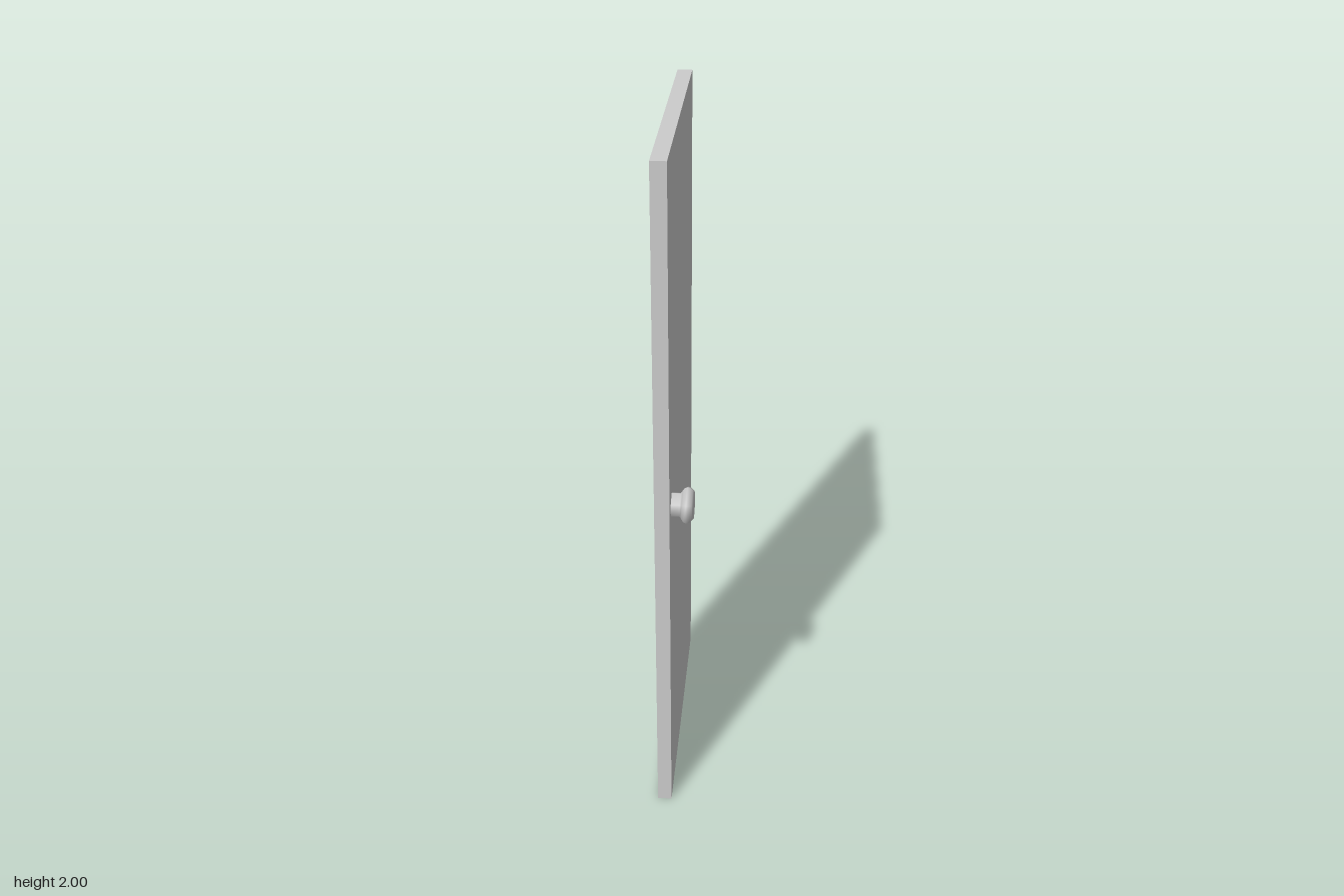
import * as THREE from 'three';

export function createModel() {
  const group = new THREE.Group();
  const material = new THREE.MeshStandardMaterial({ color: 0xcccccc });

  // Flat door slab
  const panel = new THREE.Mesh(new THREE.BoxGeometry(0.041, 2, 0.77), material);
  panel.name = 'doorPanel';
  panel.position.set(-0.0305, 1, 0);
  group.add(panel);

  // Six-sided knob: [radius, distance from the door face], turned to point along +x
  const profile = [
    [0.036, -0.002], [0.036, 0.024], [0.044, 0.029], [0.052, 0.034],
    [0.056, 0.042], [0.053, 0.05], [0.047, 0.056], [0.041, 0.06], [0, 0.06],
  ].map(([r, d]) => new THREE.Vector2(r, d));
  const knobGeometry = new THREE.LatheGeometry(profile, 6, Math.PI / 2);
  knobGeometry.rotateZ(-Math.PI / 2);
  const knob = new THREE.Mesh(knobGeometry, material);
  knob.name = 'doorKnob';
  knob.position.set(-0.01, 1.027, 0.318);
  group.add(knob);

  return group;
}
